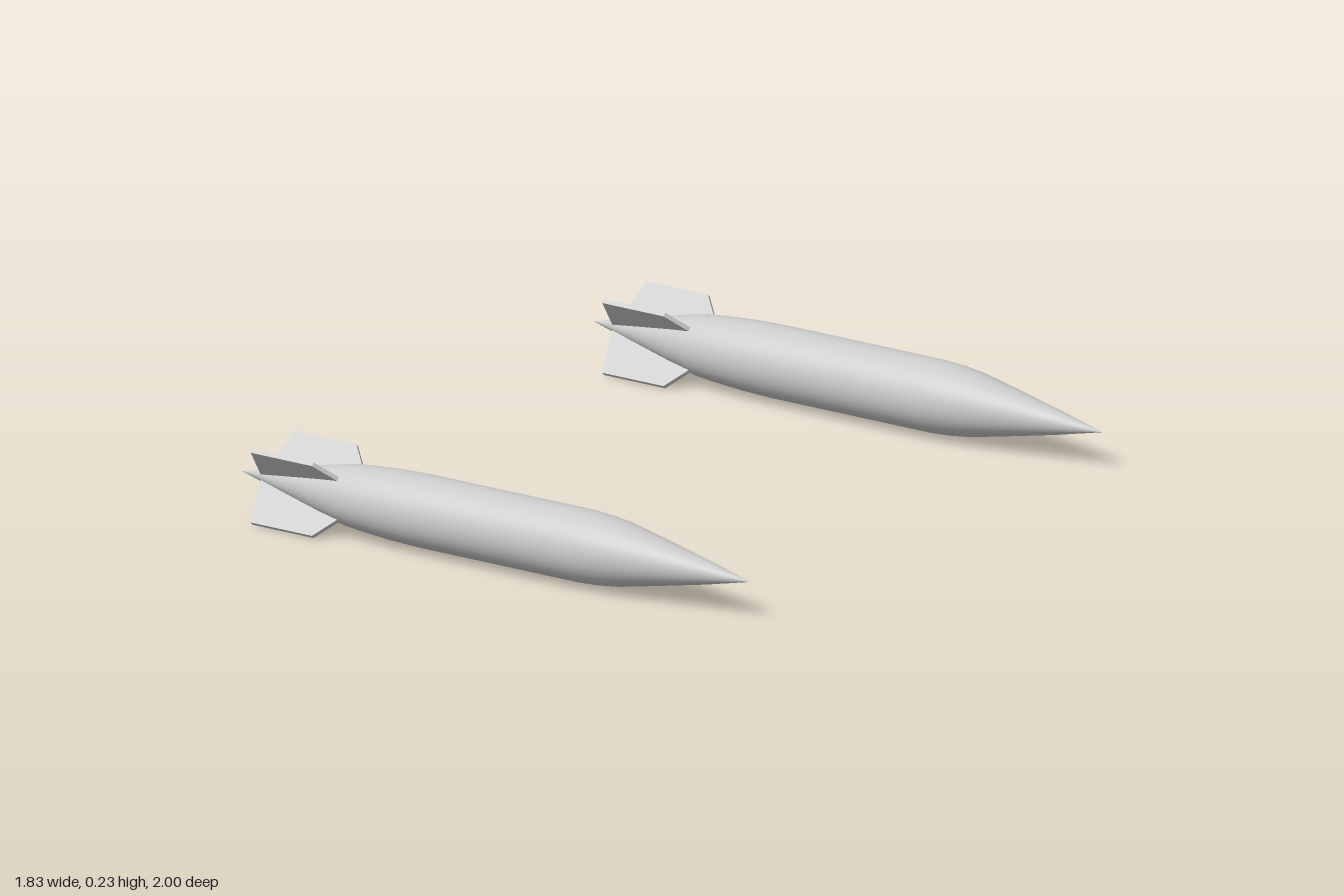
import * as THREE from 'three';

const material = new THREE.MeshStandardMaterial({ color: 0xcccccc });
const CENTRE_Y = 0.118, CENTRE_Z = 0.883;

// Hull profile: [position along x, radius], tail to nose
const PROFILE = [
  [-0.915, 0], [-0.8, 0.028], [-0.7, 0.052], [-0.6, 0.076], [-0.52, 0.092],
  [-0.45, 0.099], [-0.35, 0.106], [-0.25, 0.109], [0.32, 0.109], [0.39, 0.105],
  [0.46, 0.097], [0.6, 0.069], [0.76, 0.036], [0.915, 0],
];

// Fin outline: [position along x, distance from the axis]
const FIN = [[-0.839, 0.003], [-0.8, 0.158], [-0.58, 0.158], [-0.52, 0.087], [-0.54, 0.05]];
const FIN_THICKNESS = 0.013;

function createHull() {
  const geometry = new THREE.LatheGeometry(PROFILE.map(([x, r]) => new THREE.Vector2(r, x)), 40);
  geometry.rotateZ(-Math.PI / 2);
  const hull = new THREE.Mesh(geometry, material);
  hull.name = 'hull';
  return hull;
}

function createFin(angle) {
  const shape = new THREE.Shape(FIN.map(([x, r]) => new THREE.Vector2(x, r)));
  const geometry = new THREE.ExtrudeGeometry(shape, { depth: FIN_THICKNESS, bevelEnabled: false });
  geometry.translate(0, 0, -FIN_THICKNESS / 2);
  const fin = new THREE.Mesh(geometry, material);
  fin.rotation.x = angle;
  fin.name = 'tailFin';
  return fin;
}

function createRocket(name, z) {
  const rocket = new THREE.Group();
  rocket.name = name;
  rocket.add(createHull());
  // Four fins in a diagonal cross
  for (let i = 0; i < 4; i++) rocket.add(createFin(Math.PI / 4 + (i * Math.PI) / 2));
  rocket.position.set(0, CENTRE_Y, z);
  return rocket;
}

export function createModel() {
  const model = new THREE.Group();
  model.name = 'rocketPair';
  model.add(createRocket('frontRocket', CENTRE_Z), createRocket('backRocket', -CENTRE_Z));
  return model;
}
